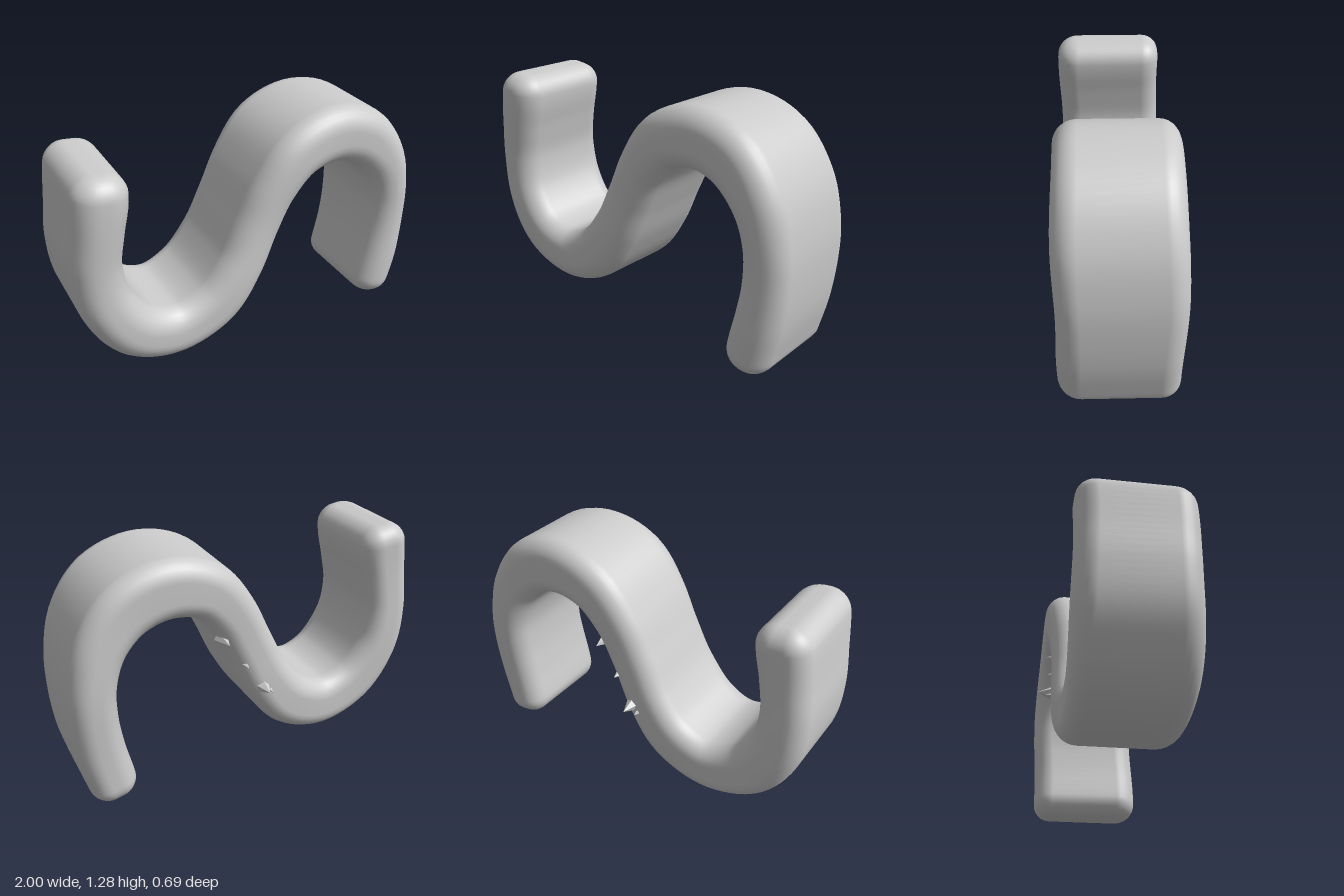
import * as THREE from 'three';

// Centreline of the band: x, y, half thickness
const path = new THREE.CatmullRomCurve3([
  [-0.81, 1.215, 0.13], [-0.825, 1.08, 0.14], [-0.85, 0.92, 0.133], [-0.872, 0.72, 0.13],
  [-0.835, 0.49, 0.138], [-0.69, 0.283, 0.148], [-0.47, 0.207, 0.15], [-0.25, 0.29, 0.15],
  [-0.1, 0.48, 0.138], [0.005, 0.7, 0.133], [0.105, 0.9, 0.135], [0.245, 1.06, 0.147],
  [0.45, 1.117, 0.157], [0.66, 1.055, 0.155], [0.805, 0.89, 0.135], [0.866, 0.69, 0.122],
  [0.872, 0.5, 0.122], [0.85, 0.3, 0.127], [0.81, 0.12, 0.126], [0.785, 0.004, 0.122],
].map(p => new THREE.Vector3(...p)));

const CORNER = 7; // segments per rounded corner
const END = 0.1;  // radius of the rounded ends

// Rounded rectangle, anticlockwise: u across the thickness, z across the width
function section(half, zBack, zFront, inset) {
  const points = [];
  const rFront = Math.min(0.12, half - 0.005), rBack = rFront * 0.85;
  const corners = [[1, 1, 0], [-1, 1, 1], [-1, -1, 2], [1, -1, 3]];
  for (const [su, sz, quarter] of corners) {
    const r0 = sz > 0 ? rFront : rBack;
    const r = Math.max(r0 - inset, 0.006);
    const cu = su * (half - inset - r);
    const cz = sz > 0 ? zFront - inset - r : zBack + inset + r;
    for (let i = 0; i <= CORNER; i++) {
      const a = (quarter + i / CORNER) * Math.PI / 2;
      points.push([cu + r * Math.cos(a), cz + r * Math.sin(a)]);
    }
  }
  return points;
}

function bandGeometry() {
  const length = path.getLength();
  const stations = [];
  const capSteps = 8, bodySteps = 110;
  for (let i = 0; i < capSteps; i++) stations.push(END * (1 - Math.cos(i / capSteps * Math.PI / 2)));
  // the cap stations run from the tip inward with a circular profile
  const cap = stations.map((_, i) => END * (1 - Math.sin(i / capSteps * Math.PI / 2)));
  const all = stations.map((s, i) => [s, i]).map(([, i]) => {
    const a = i / capSteps * Math.PI / 2;
    return { s: END * (1 - Math.cos(a)), inset: cap[i] };
  });
  const tail = all.map(e => ({ s: length - e.s, inset: e.inset })).reverse();
  for (let i = 0; i <= bodySteps; i++) {
    all.push({ s: END + (length - 2 * END) * i / bodySteps, inset: 0 });
  }
  all.push(...tail);

  const positions = [], index = [];
  let count = 0;
  for (const { s, inset } of all) {
    const u = s / length;
    const p = path.getPointAt(u), t = path.getTangentAt(u);
    const l = Math.hypot(t.x, t.y), nx = -t.y / l, ny = t.x / l;
    // the band drifts slightly backwards from left to right
    const zBack = -0.28 - 0.022 * p.x + 0.006 * Math.sin(9 * u * Math.PI);
    const zFront = 0.325 - 0.013 * p.x + 0.005 * Math.sin(11 * u * Math.PI);
    const ring = section(p.z, zBack, zFront, inset);
    count = ring.length;
    for (const [a, z] of ring) positions.push(p.x + nx * a, p.y + ny * a, z);
  }
  for (let i = 0; i < all.length - 1; i++) {
    for (let j = 0; j < count; j++) {
      const k = (j + 1) % count, a = i * count, b = a + count;
      index.push(a + j, a + k, b + k, a + j, b + k, b + j);
    }
  }
  // Close both ends with fans
  const last = (all.length - 1) * count;
  for (let j = 1; j < count - 1; j++) {
    index.push(0, j + 1, j, last, last + j, last + j + 1);
  }
  const geometry = new THREE.BufferGeometry();
  geometry.setAttribute('position', new THREE.Float32BufferAttribute(positions, 3));
  geometry.setIndex(index);
  geometry.computeVertexNormals();
  return geometry;
}

export function createModel() {
  const group = new THREE.Group();
  const smooth = new THREE.MeshStandardMaterial({ color: 0xcccccc });
  const faceted = new THREE.MeshStandardMaterial({ color: 0xcccccc, flatShading: true });

  const band = new THREE.Mesh(bandGeometry(), smooth);
  band.name = 'waveBand';
  group.add(band);

  // Small rough burrs along the rear of the sloping middle: x, y, z of tip, radius
  const burrs = [
    [-0.04, 0.47, -0.35, 0.045], [-0.08, 0.44, -0.31, 0.04],
    [0.06, 0.62, -0.295, 0.04], [0.17, 0.78, -0.295, 0.04],
  ];
  burrs.forEach(([x, y, z, r], i) => {
    const height = 0.1;
    const cone = new THREE.ConeGeometry(r, height, 5);
    cone.translate(0, -height / 2, 0);
    cone.rotateX(-Math.PI / 2);
    const burr = new THREE.Mesh(cone, faceted);
    burr.position.set(x, y, z);
    burr.rotation.z = i * 0.7;
    burr.name = 'rearBurr' + (i + 1);
    group.add(burr);
  });

  return group;
}
